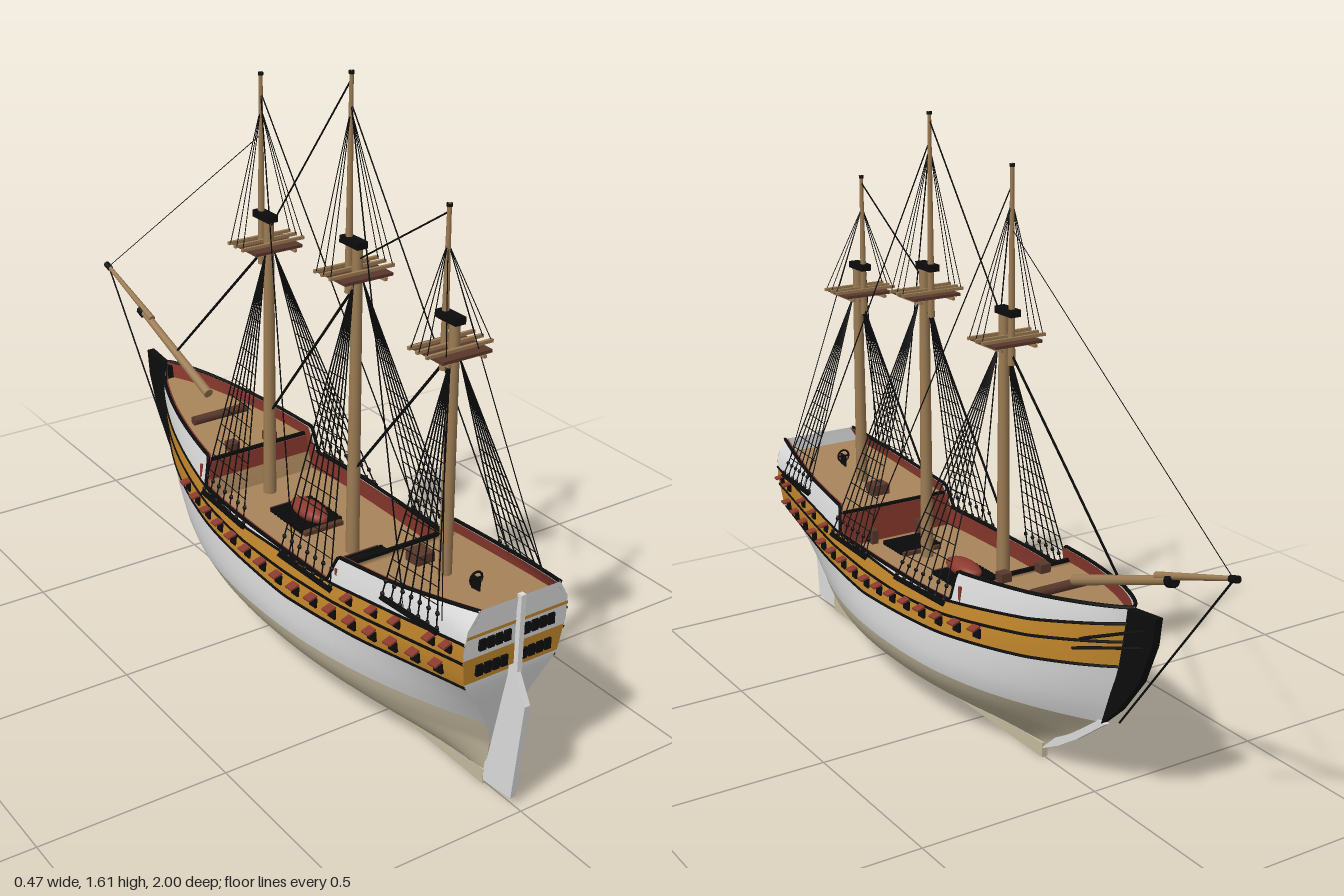
import * as THREE from 'three';
import { mergeGeometries } from 'three/addons/utils/BufferGeometryUtils.js';

const paint = (name, color) => new THREE.MeshStandardMaterial({ name, color, side: THREE.DoubleSide });
const V = (x, y, z) => new THREE.Vector3(x, y, z);

// Linear lookup in a short table of [key, value] pairs
function lookup(table, k) {
  if (k <= table[0][0]) return table[0][1];
  for (let i = 1; i < table.length; i++) {
    const [a, va] = table[i - 1], [b, vb] = table[i];
    if (k <= b) return va + (vb - va) * (k - a) / (b - a);
  }
  return table[table.length - 1][1];
}

// Hull lines: end profiles (z by height), then heights along the length
const stemZ = y => lookup([[0.03, -0.28], [0.07, -0.345], [0.12, -0.42], [0.21, -0.535], [0.29, -0.58], [0.37, -0.61], [0.55, -0.64]], y);
const sternZ = y => lookup([[0.03, 0.87], [0.34, 0.935], [0.55, 0.955]], y);
const sternW = y => lookup([[0.03, 0.004], [0.13, 0.012], [0.2, 0.035], [0.28, 0.085], [0.36, 0.137], [0.45, 0.15], [0.51, 0.145], [0.56, 0.115]], y);
const ochreLow = z => lookup([[-0.64, 0.385], [-0.4, 0.35], [-0.1, 0.322], [0.3, 0.302], [0.6, 0.315], [0.95, 0.35]], z);
const ochreTop = z => lookup([[-0.64, 0.505], [-0.4, 0.455], [-0.1, 0.415], [0.1, 0.403], [0.5, 0.42], [0.95, 0.475]], z);
const railY = z => lookup([[-0.64, 0.548], [-0.4, 0.522], [-0.13, 0.5], [-0.12, 0.42], [0.47, 0.42], [0.5, 0.492], [0.7, 0.515], [0.955, 0.557]], z);
const deckY = z => lookup([[-0.64, 0.505], [-0.16, 0.465], [-0.15, 0.365], [0.5, 0.365], [0.505, 0.46], [0.955, 0.515]], z);
const nominalZ = s => -0.64 + 1.595 * s;

function halfWidth(s, y) {
  const t = Math.min(1, Math.max(0, (y - 0.03) / 0.22));
  let mid = 0.212 * Math.pow(1 - Math.pow(1 - t, 2.2), 0.75);
  if (y > 0.25) mid -= 0.55 * (y - 0.25) ** 2;
  if (s < 0.5) return mid * Math.pow(1 - Math.pow(1 - s / 0.5, 2.4), 0.75 + 0.5 * Math.max(0, 1 - y / 0.5));
  return mid + (sternW(y) - mid) * Math.pow((s - 0.5) / 0.5, 2.1);
}
const hullPoint = (s, y, side = 1, inset = 0) =>
  V(side * Math.max(0, halfWidth(s, y) - inset), y, stemZ(y) + (sternZ(y) - stemZ(y)) * s);
const sideAt = (z, y, side) => hullPoint((z - stemZ(y)) / (sternZ(y) - stemZ(y)), y, side);

// Stations, closer at the bow, with extra ones at the steps in the sheer
const stations = [...Array(49).keys()].map(i => (i / 48) ** 1.5);
for (const z of [-0.16, -0.15, -0.13, -0.12, 0.47, 0.5, 0.505]) stations.push((z + 0.64) / 1.595);
stations.sort((a, b) => a - b);

// Surface from rows of points
function sheet(rows) {
  const n = rows[0].length, index = [];
  for (let i = 0; i < rows.length - 1; i++)
    for (let j = 0; j < n - 1; j++) {
      const a = i * n + j;
      index.push(a, a + 1, a + n, a + 1, a + n + 1, a + n);
    }
  const g = new THREE.BufferGeometry().setFromPoints(rows.flat());
  g.setIndex(index);
  g.computeVertexNormals();
  return g;
}
function rod(a, b, r, r2 = r, sides = 4) {
  const d = b.clone().sub(a);
  const g = new THREE.CylinderGeometry(r2, r, d.length(), sides);
  g.applyQuaternion(new THREE.Quaternion().setFromUnitVectors(V(0, 1, 0), d.normalize()));
  return g.translate(...a.clone().add(b).multiplyScalar(0.5).toArray());
}
const box = (w, h, d, x, y, z) => new THREE.BoxGeometry(w, h, d).translate(x, y, z);
function plate(points, thick) { // side profile of [z, y], thickness across x
  const g = new THREE.ExtrudeGeometry(new THREE.Shape(points.map(p => new THREE.Vector2(-p[0], p[1]))), { depth: thick, bevelEnabled: false });
  return g.translate(0, 0, -thick / 2).rotateY(Math.PI / 2);
}

export function createModel() {
  const ship = new THREE.Group();
  ship.name = 'sailingShip';
  const white = paint('white', 0xdcdcdc), ochre = paint('ochre', 0xc4882c), black = paint('black', 0x0c0c0c);
  const cream = paint('cream', 0xc6bb9f), deckTan = paint('deck tan', 0xa8845a), wood = paint('spar wood', 0x9c7c54);
  const red = paint('red', 0x8c3a2e), brown = paint('brown', 0x5a382c);
  const add = (name, material, ...geos) => {
    const m = new THREE.Mesh(geos.length > 1 ? mergeGeometries(geos) : geos[0], material);
    m.name = name;
    ship.add(m);
  };

  // Hull shell in painted bands
  const band = (name, material, low, high, rows, inset = 0) => {
    const geos = [1, -1].map(side => sheet(stations.map(s => {
      const z = nominalZ(s), a = low(z), b = Math.max(a, high(z));
      return [...Array(rows + 1).keys()].map(j => hullPoint(s, a + (b - a) * j / rows, side, inset));
    })));
    add(name, material, ...geos);
  };
  band('hullBottom', cream, () => 0.03, () => 0.2, 12);
  band('hullSide', white, () => 0.2, ochreLow, 5);
  band('gunBand', ochre, ochreLow, ochreTop, 4);
  band('upperSide', white, ochreTop, railY, 3);
  band('innerBulwark', red, z => deckY(z) - 0.01, railY, 2, 0.01);
  add('deck', deckTan, sheet(stations.map(s => [-1, -0.5, 0, 0.5, 1].map(k => {
    const p = hullPoint(s, deckY(nominalZ(s)), 1, 0.006);
    return V(p.x * k, p.y, p.z);
  }))));

  // Rails and wales
  const strip = (name, f, r) => add(name, black, ...[1, -1].map(side =>
    new THREE.TubeGeometry(new THREE.CatmullRomCurve3(stations.map(s => hullPoint(s, f(nominalZ(s)), side)), false, 'centripetal'), 130, r, 5)));
  strip('rail', railY, 0.005);
  strip('lowerWale', ochreLow, 0.004);
  strip('middleWale', z => ochreLow(z) * 0.42 + ochreTop(z) * 0.58, 0.004);
  strip('upperWale', ochreTop, 0.004);

  // Transom, stern windows
  const transom = (name, material, ys, out = 0) => add(name, material, sheet(ys.map(y =>
    [1, -1].map(side => hullPoint(1, y, side).add(V(0, 0, out))))));
  transom('transomBottom', cream, [0.03, 0.08, 0.13]);
  transom('transomLower', white, [0.13, 0.2, 0.28, 0.34, 0.36]);
  transom('transomBand', ochre, [0.36, 0.4, 0.43]);
  transom('transomUpper', white, [0.43, 0.45, 0.51, 0.557]);
  transom('transomStripe', ochre, [0.488, 0.497], 0.003);
  const panes = [];
  for (const y of [0.393, 0.463]) for (const side of [1, -1]) for (let i = 0; i < 4; i++)
    panes.push(box(0.018, 0.028, 0.008, side * (0.028 + i * 0.024), y, sternZ(y) + 0.003));
  add('sternWindows', black, ...panes);

  // Keel, rudder, stern post, stem knee
  add('keel', cream, box(0.018, 0.04, 1.15, 0, 0.02, 0.295));
  add('rudder', white, plate([[1, 0.29], [0.95, 0.38], [0.915, 0.35], [0.865, 0.01], [0.97, 0.02]], 0.016));
  add('sternPost', white, box(0.014, 0.2, 0.014, 0, 0.465, 0.959));
  add('stemKnee', black, plate([[-0.62, 0.54], [-0.735, 0.553], [-0.725, 0.48], [-0.68, 0.37], [-0.6, 0.265], [-0.535, 0.205], [-0.595, 0.37]], 0.022));
  add('forefoot', white, plate([[-0.27, 0.02], [-0.35, 0.063], [-0.43, 0.116], [-0.545, 0.205], [-0.5, 0.21], [-0.38, 0.12]], 0.014));
  add('headRails', black, ...[1, -1].flatMap(k => [
    rod(sideAt(-0.52, 0.44, k), V(0, 0.52, -0.72), 0.004), rod(sideAt(-0.5, 0.41, k), V(0, 0.47, -0.71), 0.004)]));

  // Gun ports with raised lids
  const ports = [], lids = [];
  const port = (z, y, side, size) => {
    const p = sideAt(z, y, side), q = sideAt(z + 0.02, y, side);
    const turn = Math.atan2(q.x - p.x, q.z - p.z);
    ports.push(new THREE.BoxGeometry(0.012, size, size).rotateY(turn).translate(p.x, y, p.z));
    lids.push(new THREE.BoxGeometry(0.026, 0.005, size).rotateZ(-side * 0.25).rotateY(turn).translate(p.x + side * 0.012, y + size * 0.62, p.z));
  };
  for (const side of [1, -1]) {
    for (let i = 0; i < 16; i++) {
      const z = 0.865 - i * 0.0725;
      port(z, ochreLow(z) + 0.035, side, 0.025);
    }
    for (const z of [0.9, 0.845, 0.73, 0.65, 0.56]) port(z, ochreTop(z) - 0.022, side, 0.02);
  }
  add('gunPorts', black, ...ports);
  add('portLids', red, ...lids);

  // Bulkheads and deck fittings
  const wall = (z, y0, y1) => box(2 * halfWidth((z + 0.64) / 1.595, y0) - 0.02, y1 - y0, 0.008, 0, (y0 + y1) / 2, z);
  add('bulkheads', red, wall(-0.147, 0.36, 0.467), wall(0.498, 0.36, 0.462));
  add('breakRails', black, wall(-0.15, 0.466, 0.476), wall(0.5, 0.46, 0.47));
  add('windlass', brown, rod(V(-0.085, 0.495, -0.34), V(0.085, 0.495, -0.34), 0.013, 0.013, 10));
  const slats = [];
  for (const [z0, n] of [[0.03, 10], [0.35, 7]]) for (let i = 0; i < n; i++)
    slats.push(box(0.13, 0.012, 0.009, 0, 0.374, z0 + i * 0.015));
  add('gratings', black, ...slats);
  add('hatches', brown, box(0.12, 0.012, 0.17, 0, 0.37, 0.1), box(0.12, 0.012, 0.12, 0, 0.37, 0.395), box(0.05, 0.03, 0.05, 0, 0.485, 0.59));
  add('smallBoat', red, new THREE.SphereGeometry(1, 14, 8).scale(0.035, 0.022, 0.075).translate(0, 0.395, 0.115));
  add('bittPosts', brown, ...[-0.06, 0.06].flatMap(x => [box(0.03, 0.025, 0.03, x, 0.48, -0.175), box(0.02, 0.04, 0.025, x * 1.3, 0.385, 0.48)]));
  add('steeringWheel', black, new THREE.TorusGeometry(0.018, 0.003, 5, 12).translate(0, 0.525, 0.8),
    box(0.036, 0.004, 0.004, 0, 0.525, 0.8), box(0.004, 0.04, 0.03, 0, 0.51, 0.8));

  // Masts, tops, caps and rigging
  const ropes = [], spars = [], tops = [], caps = [], deadeyes = [], channels = [], crossbars = [];
  const rope = (a, b, r = 0.002) => ropes.push(rod(a, b, r, r, 3));
  const masts = [ // z, top platform, cap, head, shroud foot: z from, z to, height
    { z: 0.685, top: 1.055, cap: 1.13, head: 1.39, z0: 0.68, z1: 0.87, foot: 0.475 },
    { z: 0.31, top: 1.12, cap: 1.195, head: 1.605, z0: 0.29, z1: 0.5, foot: 0.41 },
    { z: -0.08, top: 1.075, cap: 1.15, head: 1.52, z0: -0.1, z1: 0.12, foot: 0.41 }];
  for (const m of masts) {
    const tz = m.z - 0.035;
    spars.push(rod(V(0, 0.36, m.z), V(0, m.cap, m.z), 0.018, 0.013, 12), rod(V(0, m.top - 0.06, tz), V(0, m.head, tz), 0.01, 0.005, 8));
    tops.push(box(0.14, 0.008, 0.12, 0, m.top, m.z - 0.01));
    for (const d of [-0.045, -0.015, 0.02]) crossbars.push(box(0.188, 0.008, 0.008, 0, m.top + 0.01, m.z + d));
    for (const x of [-0.05, 0.05]) crossbars.push(box(0.008, 0.008, 0.12, x, m.top - 0.01, m.z - 0.01));
    caps.push(box(0.03, 0.018, 0.075, 0, m.cap, m.z - 0.017), rod(V(0, m.head - 0.008, tz), V(0, m.head, tz), 0.007, 0.007, 8));
    for (const k of [1, -1]) {
      const lines = [];
      for (let i = 0; i < 7; i++) {
        const z = m.z0 + (m.z1 - m.z0) * i / 6, foot = sideAt(z, m.foot, k).add(V(k * 0.012, 0, 0));
        const head = V(k * 0.014, m.top - 0.02, m.z + 0.006);
        lines.push([foot, head]);
        rope(foot, head, 0.0022);
        for (const t of [0.015, 0.07]) deadeyes.push(new THREE.SphereGeometry(0.006, 6, 4).translate(...foot.clone().lerp(head, t).toArray()));
      }
      for (let t = 0.1; t < 0.9; t += 0.065) // ratlines
        rope(lines[0][0].clone().lerp(lines[0][1], t), lines[6][0].clone().lerp(lines[6][1], t), 0.0013);
      const a = lines[0][0], b = lines[6][0];
      channels.push(rod(a, b, 0.009, 0.009, 4));
      for (const d of [-0.04, -0.01, 0.02]) // topmast shrouds
        rope(V(k * 0.09, m.top + 0.012, m.z + d), V(0, m.head - 0.09, tz), 0.0014);
    }
  }
  for (const k of [1, -1]) { // backstays
    rope(V(0, 1.53, 0.275), sideAt(0.75, 0.46, k));
    rope(V(0, 1.47, -0.115), sideAt(0.33, 0.42, k));
    rope(V(0, 1.3, 0.65), sideAt(0.87, 0.5, k), 0.0015);
  }
  const stays = [ // z, y to z, y, thickness
    [-0.115, 1.36, -0.985, 0.737, 0.0012], [-0.09, 1.07, -0.59, 0.59, 0.004], [0.275, 1.585, -0.085, 1.11, 0.0025],
    [0.29, 1.07, -0.08, 0.6, 0.004], [0.65, 1.37, 0.32, 1.16, 0.0025], [0.665, 1.03, 0.315, 0.6, 0.004],
    [-0.985, 0.735, -0.595, 0.23, 0.003]];
  for (const [z0, y0, z1, y1, r] of stays) rope(V(0, y0, z0), V(0, y1, z1), r);

  // Bowsprit with its cap and tip
  spars.push(rod(V(0, 0.535, -0.4), V(0, 0.664, -0.78), 0.014, 0.011, 10), rod(V(0, 0.655, -0.72), V(0, 0.738, -0.985), 0.01, 0.006, 8));
  caps.push(rod(V(0, 0.657, -0.765), V(0, 0.664, -0.785), 0.016, 0.016, 10), rod(V(0, 0.734, -0.975), V(0, 0.741, -1), 0.009, 0.009, 8));

  add('mastsAndBowsprit', wood, ...spars);
  add('crosstrees', wood, ...crossbars);
  add('topPlatforms', brown, ...tops);
  for (const [name, list] of [['mastCaps', caps], ['rigging', ropes], ['deadeyes', deadeyes], ['channels', channels]]) {
    const geos = list.map(g => g.index ? g.toNonIndexed() : g);
    add(name, black, ...geos);
  }
  return ship;
}
